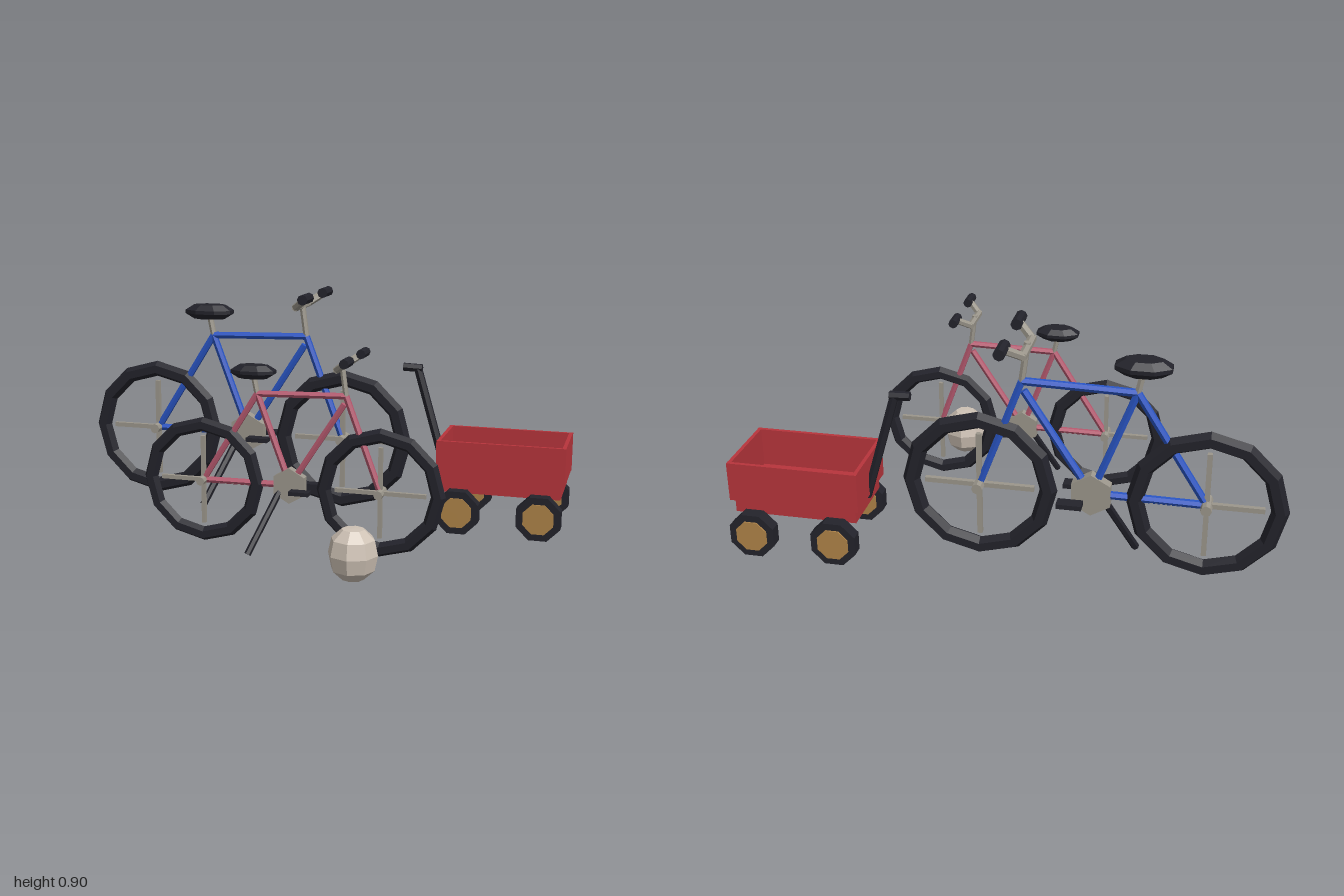
import * as THREE from 'three';

const mat = (color) => new THREE.MeshStandardMaterial({ color, flatShading: true });
const BLACK = mat(0x23232b), GREY = mat(0x9c978c), TAN = mat(0xb08448), RED = mat(0xb8353c);
const BLUE = mat(0x2a56c6), PINK = mat(0xb85a70), CREAM = mat(0xcfc3b6);

function add(parent, name, geometry, material, x = 0, y = 0, z = 0) {
  const mesh = new THREE.Mesh(geometry, material);
  mesh.name = name;
  mesh.position.set(x, y, z);
  parent.add(mesh);
  return mesh;
}

const box = (parent, name, w, h, d, material, x, y, z) =>
  add(parent, name, new THREE.BoxGeometry(w, h, d), material, x, y, z);

// Straight tube between two points
function rod(parent, name, a, b, radius, material, sides = 6) {
  const p = new THREE.Vector3(...a), q = new THREE.Vector3(...b);
  const mesh = add(parent, name, new THREE.CylinderGeometry(radius, radius, p.distanceTo(q), sides), material);
  mesh.position.copy(p).add(q).multiplyScalar(0.5);
  mesh.quaternion.setFromUnitVectors(new THREE.Vector3(0, 1, 0), q.sub(p).normalize());
  return mesh;
}

// Cylinder lying along z
function disc(parent, name, radius, width, sides, material, x, y, z, turn = 0) {
  const g = new THREE.CylinderGeometry(radius, radius, width, sides).rotateY(turn).rotateX(Math.PI / 2);
  return add(parent, name, g, material, x, y, z);
}

// Faceted round solid from [radius, height] pairs
const lathe = (pairs, sides) =>
  new THREE.LatheGeometry(pairs.map(([r, y]) => new THREE.Vector2(r, y)), sides);

function createBikeWheel(name, x, y) {
  const wheel = new THREE.Group();
  wheel.name = name;
  wheel.position.set(x, y, 0);
  add(wheel, 'tyre', new THREE.TorusGeometry(0.252, 0.032, 6, 12), BLACK);
  box(wheel, 'spokeBar', 0.4, 0.018, 0.018, GREY);
  box(wheel, 'spokeBar', 0.018, 0.4, 0.018, GREY);
  disc(wheel, 'hub', 0.02, 0.093, 8, GREY, 0, 0, 0);
  return wheel;
}

function createBike(name, paint) {
  const bike = new THREE.Group();
  bike.name = name;
  const rear = [-0.405, 0.296, 0], front = [0.405, 0.296, 0], crank = [0, 0.3, 0];
  const seatTop = [-0.15, 0.7, 0], head = [0.25, 0.71, 0], headLow = [0.243, 0.675, 0];

  bike.add(createBikeWheel('rearWheel', rear[0], rear[1]));
  bike.add(createBikeWheel('frontWheel', front[0], front[1]));

  // Frame
  const tubes = {
    topTube: [seatTop, head], seatTube: [crank, seatTop], downTube: [crank, headLow],
    seatStay: [rear, seatTop], chainStay: [rear, crank], fork: [head, front],
  };
  for (const [part, [a, b]] of Object.entries(tubes)) rod(bike, part, a, b, 0.0145, paint);

  // Drive and kickstand
  disc(bike, 'chainCase', 0.08, 0.04, 6, GREY, 0, 0.3, 0, Math.PI);
  for (const s of [-1, 1]) box(bike, 'pedal', 0.09, 0.017, 0.048, BLACK, 0.066, 0.288, s * 0.076);
  rod(bike, 'kickstand', [-0.04, 0.285, 0], [-0.15, 0.013, 0.145], 0.015, BLACK);

  // Saddle
  rod(bike, 'seatPost', seatTop, [-0.168, 0.79, 0], 0.0125, GREY);
  const saddle = lathe([[0, -1], [0.65, -1], [1, -0.25], [1, 0.25], [0.65, 1], [0, 1]], 8);
  saddle.rotateY(Math.PI / 8).scale(0.105, 0.029, 0.063);
  add(bike, 'saddle', saddle, BLACK, -0.167, 0.797, 0);

  // Stem, swept handlebar and grips
  rod(bike, 'stem', head, [0.23, 0.855, 0], 0.0125, GREY);
  rod(bike, 'handlebarCentre', [0.23, 0.836, -0.09], [0.23, 0.836, 0.09], 0.016, GREY);
  for (const s of [-1, 1]) {
    rod(bike, 'handlebarSweep', [0.23, 0.836, s * 0.083], [0.288, 0.877, s * 0.135], 0.016, GREY);
    rod(bike, 'grip', [0.288, 0.877, s * 0.095], [0.288, 0.877, s * 0.188], 0.021, BLACK, 8);
  }
  return bike;
}

function createWagon() {
  const wagon = new THREE.Group();
  wagon.name = 'wagon';
  wagon.position.set(0.755, 0, -0.35);

  // Open tub on a narrower base
  box(wagon, 'base', 0.46, 0.055, 0.276, RED, 0, 0.178, 0);
  for (const s of [-1, 1]) {
    box(wagon, 'sideWall', 0.49, 0.15, 0.014, RED, 0, 0.278, s * 0.145);
    box(wagon, 'endWall', 0.014, 0.15, 0.28, RED, s * 0.237, 0.278, 0);
  }
  // Wheels
  for (const sx of [-1, 1]) for (const sz of [-1, 1]) {
    disc(wagon, 'wagonTyre', 0.09, 0.048, 8, BLACK, sx * 0.155, 0.084, sz * 0.167, Math.PI / 8);
    disc(wagon, 'wagonHub', 0.062, 0.058, 8, TAN, sx * 0.155, 0.084, sz * 0.167, Math.PI / 8);
  }
  // Pull handle
  rod(wagon, 'handleShaft', [-0.23, 0.19, 0], [-0.352, 0.605, 0], 0.017, BLACK);
  rod(wagon, 'handleGrip', [-0.41, 0.609, 0], [-0.335, 0.606, 0], 0.017, BLACK);
  return wagon;
}

export function createModel() {
  const model = new THREE.Group();
  model.name = 'bikesAndWagon';

  const large = createBike('largeBike', BLUE);
  large.position.set(-0.311, 0, -0.367);
  const small = createBike('smallBike', PINK);
  small.scale.setScalar(0.83);
  small.position.set(0.055, 0, 0.225);
  model.add(large, small, createWagon());

  // Faceted ball
  const ball = lathe([[0, -1], [0.45, -0.98], [0.87, -0.6], [1, 0], [0.87, 0.6], [0.45, 0.98], [0, 1]], 8);
  ball.scale(0.088, 0.09, 0.088);
  add(model, 'ball', ball, CREAM, 0.355, 0.092, 0.467);
  return model;
}
